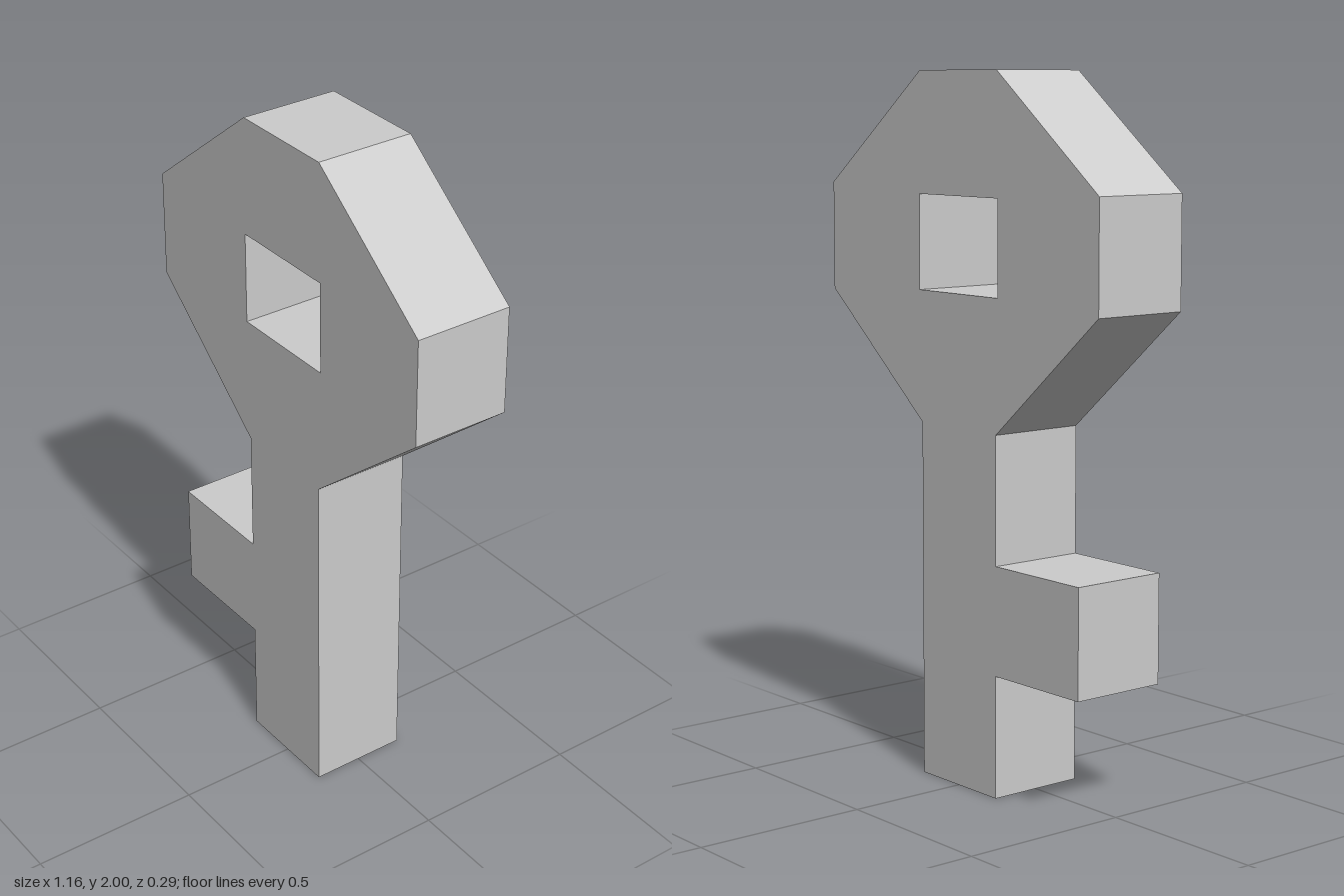
import * as THREE from 'three';

const DEPTH = 0.29;

// Flat plate cut from an outline in the xy plane, centred on z = 0
function plate(outline, hole) {
  const toPoints = (list) => list.map(([x, y]) => new THREE.Vector2(x, y));
  const shape = new THREE.Shape(toPoints(outline));
  if (hole) shape.holes.push(new THREE.Path(toPoints(hole)));
  const geometry = new THREE.ExtrudeGeometry(shape, { depth: DEPTH, bevelEnabled: false });
  return geometry.translate(0, 0, -DEPTH / 2);
}

export function createModel() {
  const group = new THREE.Group();
  group.name = 'key';
  const material = new THREE.MeshStandardMaterial({ color: 0xcccccc, flatShading: true });

  // One solid: octagonal bow, straight shank and a single bit on the right
  const outline = [
    [-0.165, 0], [0.16, 0], [0.16, 1.02], // shank
    [0.58, 1.37], [0.58, 1.68], [0.165, 2], // bow, left half
    [-0.168, 2], [-0.58, 1.68], [-0.58, 1.37], [-0.165, 1.02], // bow, right half
    [-0.165, 0.657], [-0.508, 0.657], [-0.508, 0.348], [-0.165, 0.348], // bit
  ];
  // Rectangular hole through the bow
  const hole = [[-0.172, 1.393], [-0.172, 1.66], [0.17, 1.66], [0.17, 1.393]];

  const body = new THREE.Mesh(plate(outline, hole), material);
  body.name = 'keyBody';
  group.add(body);
  return group;
}
